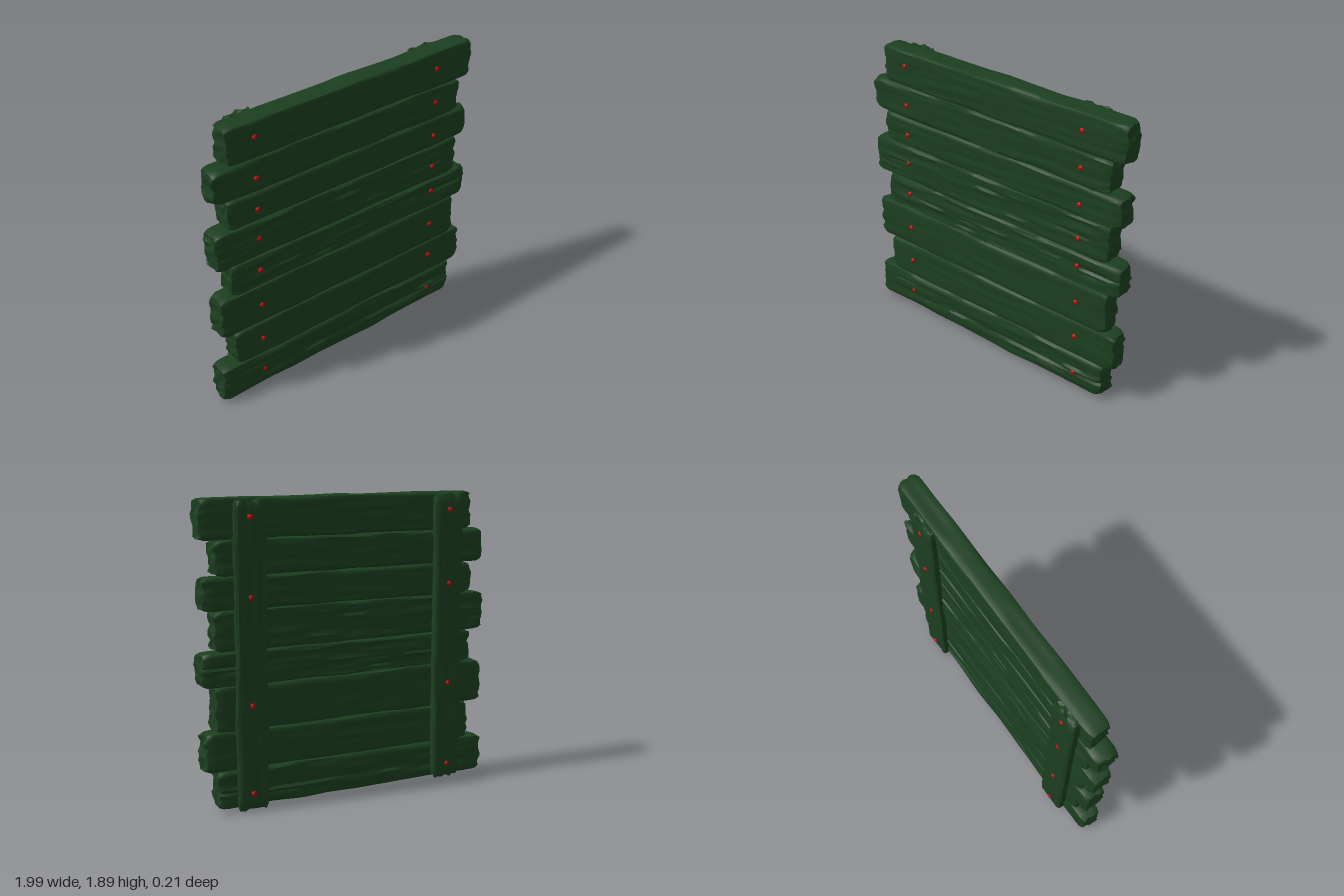
import * as THREE from 'three';
import { toCreasedNormals } from 'three/addons/utils/BufferGeometryUtils.js';

const wood = new THREE.MeshStandardMaterial({ color: 0x1c3f20 });
const nailRed = new THREE.MeshStandardMaterial({ color: 0xb00808 });

// Repeatable hash and smooth 2D noise, both in -1..1
const hash = (i, j, seed) => {
  const s = Math.sin(i * 127.1 + j * 311.7 + seed * 74.7) * 43758.5453;
  return (s - Math.floor(s)) * 2 - 1;
};
function noise(u, v, seed) {
  const i = Math.floor(u), j = Math.floor(v);
  const a = THREE.MathUtils.smoothstep(u - i, 0, 1), b = THREE.MathUtils.smoothstep(v - j, 0, 1);
  const mix = THREE.MathUtils.lerp;
  return mix(mix(hash(i, j, seed), hash(i + 1, j, seed), a),
    mix(hash(i, j + 1, seed), hash(i + 1, j + 1, seed), a), b);
}

// Rough board lying along x: long grain ridges, chipped ends, worn edges
function boardGeometry(length, width, depth, seed, rough) {
  const g = new THREE.BoxGeometry(length, width, depth, 64, 14, 6);
  const p = g.attributes.position;
  for (let k = 0; k < p.count; k++) {
    const x = p.getX(k), y = p.getY(k), z = p.getZ(k);
    const sx = x / (length / 2), sy = y / (width / 2), sz = z / (depth / 2);
    // worn corners at the ends and along the long edges
    const endWear = Math.max(0, 1 - (length / 2 - Math.abs(x)) / 0.05);
    const edge = Math.abs(sy) > 0.99 && Math.abs(sz) > 0.99 ? 0.006 : 0;
    const wear = 0.012 * endWear * endWear + edge;
    const grain = 0.006 * rough * noise(x * 4, y * 55, seed);
    const wave = 0.005 * noise(x * 5, z * 14, seed + 9);
    const chip = 0.012 * noise(y * 30, z * 30, seed + (x > 0 ? 3 : 5));
    p.setXYZ(k,
      x + sx ** 15 * (chip - 0.004),
      y + sy * (wave - wear),
      z + sz * (grain - wear));
  }
  return toCreasedNormals(g, 0.7);
}

function addBoard(parent, name, [x0, x1], [y0, y1], [z0, z1], seed, rough, upright) {
  const w = x1 - x0, h = y1 - y0, d = z1 - z0;
  const g = upright ? boardGeometry(h, w, d, seed, rough).rotateZ(Math.PI / 2)
    : boardGeometry(w, h, d, seed, rough);
  const m = new THREE.Mesh(g, wood);
  m.name = name;
  m.position.set((x0 + x1) / 2, (y0 + y1) / 2, (z0 + z1) / 2);
  parent.add(m);
}

// Low domed nail head facing front (dir 1) or back (dir -1)
const nailGeometry = new THREE.SphereGeometry(0.018, 10, 4, 0, Math.PI * 2, 0, Math.PI / 2)
  .rotateX(Math.PI / 2).scale(1, 1, 0.75);
function addNail(parent, x, y, z, dir) {
  const m = new THREE.Mesh(nailGeometry, nailRed);
  m.name = 'nail';
  m.position.set(x, y, z);
  if (dir < 0) m.rotation.y = Math.PI;
  parent.add(m);
}

export function createModel() {
  const model = new THREE.Group();
  model.name = 'woodenPanel';
  const planks = new THREE.Group(), battens = new THREE.Group(), nails = new THREE.Group();
  planks.name = 'planks';
  battens.name = 'battens';
  nails.name = 'nails';
  model.add(planks, battens, nails);

  // Planks, bottom to top: x0, x1, y0, y1, right nail y, left nail y, roughness
  const rows = [
    [-0.99, 0.89, 0.02, 0.255, 0.135, 0.12, 1.5],
    [-0.885, 0.97, 0.255, 0.495, 0.375, 0.39, 0.6],
    [-0.975, 0.9, 0.495, 0.77, 0.63, 0.64, 0.6],
    [-0.89, 0.985, 0.77, 0.98, 0.885, 0.895, 1.5],
    [-0.985, 0.895, 0.98, 1.225, 1.11, 1.08, 1],
    [-0.89, 0.97, 1.225, 1.425, 1.31, 1.305, 0.7],
    [-0.98, 0.89, 1.425, 1.64, 1.515, 1.54, 0.8],
    [-0.88, 0.985, 1.64, 1.88, 1.78, 1.77, 0.7],
  ];
  rows.forEach(([x0, x1, y0, y1, nr, nl, rough], i) => {
    addBoard(planks, 'plank', [x0, x1], [y0, y1], [-0.053, 0.088], i + 1, rough, false);
    addNail(nails, -0.69, nr, 0.087, 1);
    addNail(nails, 0.685, nl, 0.087, 1);
  });

  // Two upright battens across the back
  addBoard(battens, 'rightBatten', [-0.79, -0.59], [0.02, 1.87], [-0.1, -0.04], 21, 0.7, true);
  addBoard(battens, 'leftBatten', [0.58, 0.78], [0.005, 1.87], [-0.092, -0.04], 22, 0.7, true);
  for (const y of [0.11, 0.65, 1.3, 1.77]) {
    addNail(nails, -0.69, y, -0.098, -1);
    addNail(nails, 0.685, y, -0.09, -1);
  }
  return model;
}
